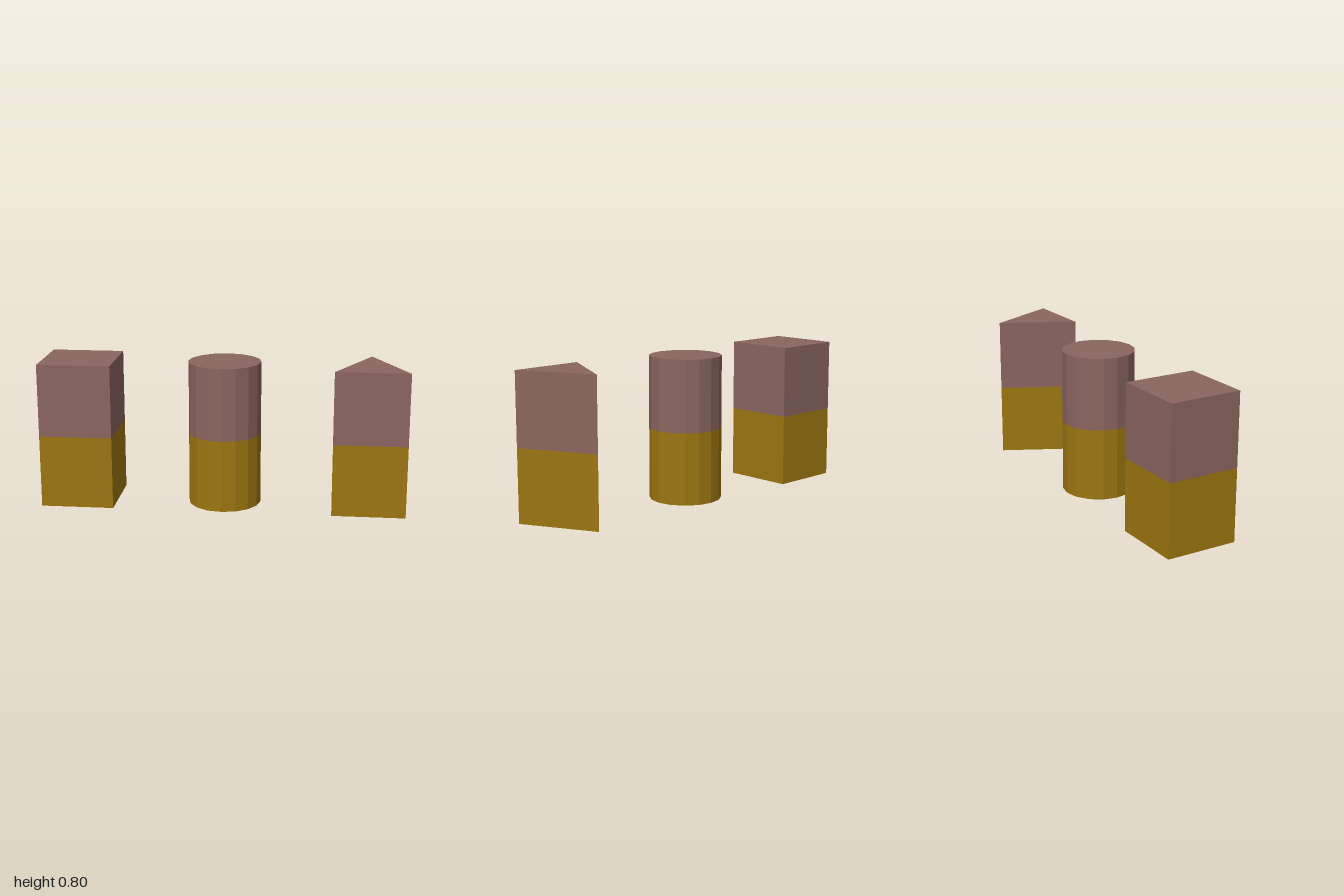
import * as THREE from 'three';

const ochre = new THREE.MeshStandardMaterial({ color: 0x9c7610, flatShading: true, side: THREE.DoubleSide });
ochre.name = 'ochre';
const brown = new THREE.MeshStandardMaterial({ color: 0x8a6560, flatShading: true, side: THREE.DoubleSide });
brown.name = 'dustyBrown';

const RADIUS = 0.2, MIDDLE = 0.4, TOP = 0.8;

// Ring of wall panels around an outline given as [x, depth], depth pointing to the back
function wall(outline, y0, y1) {
  const positions = [];
  outline.forEach(([ax, ad], i) => {
    const [bx, bd] = outline[(i + 1) % outline.length];
    positions.push(ax, y0, -ad, bx, y0, -bd, bx, y1, -bd);
    positions.push(ax, y0, -ad, bx, y1, -bd, ax, y1, -ad);
  });
  const geometry = new THREE.BufferGeometry();
  geometry.setAttribute('position', new THREE.Float32BufferAttribute(positions, 3));
  geometry.computeVertexNormals();
  return geometry;
}

// Flat lid over the same outline
function lid(outline, y) {
  const shape = new THREE.Shape(outline.map(([x, d]) => new THREE.Vector2(x, d)));
  return new THREE.ShapeGeometry(shape).rotateX(-Math.PI / 2).translate(0, y, 0);
}

// Hollow two-tone column, closed on top and open below
function column(name, outline, x) {
  const group = new THREE.Group();
  group.name = name;
  const add = (part, geometry, material) => {
    const mesh = new THREE.Mesh(geometry, material);
    mesh.name = part;
    group.add(mesh);
  };
  add('lowerWall', wall(outline, 0, MIDDLE), ochre);
  add('upperWall', wall(outline, MIDDLE, TOP), brown);
  add('lid', lid(outline, TOP), brown);
  group.position.x = x;
  return group;
}

export function createModel() {
  const r = RADIUS;
  const square = [[-r, -r], [r, -r], [r, r], [-r, r]];
  const triangle = [[-r, -r], [r, -r], [0, r]];
  const round = Array.from({ length: 16 }, (_, i) => {
    const a = (i / 16) * Math.PI * 2;
    return [r * Math.cos(a), r * Math.sin(a)];
  });

  const model = new THREE.Group();
  model.name = 'columns';
  model.add(
    column('squareColumn', square, -0.8),
    column('roundColumn', round, 0),
    column('triangularColumn', triangle, 0.8)
  );
  return model;
}
